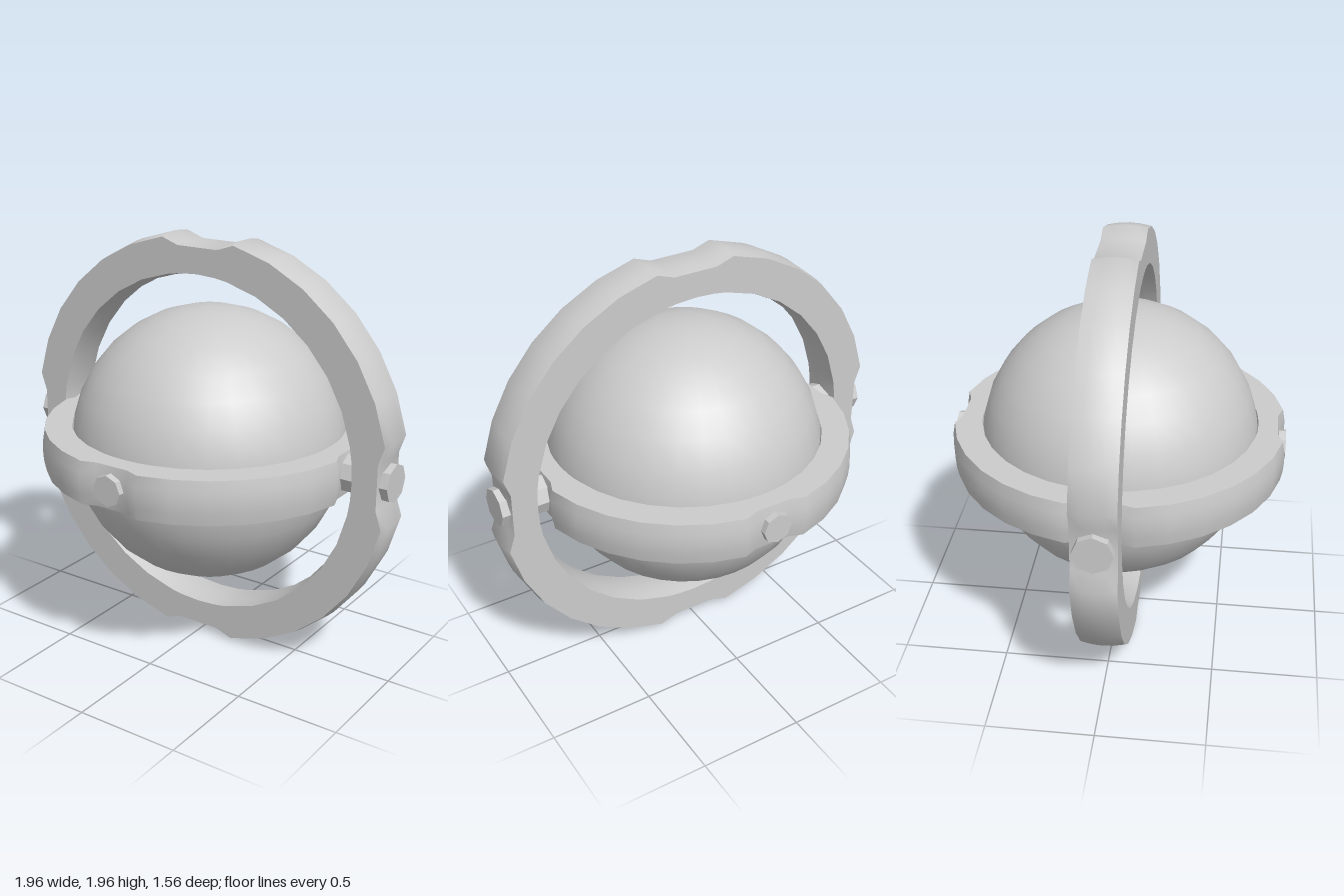
import * as THREE from 'three';
import { toCreasedNormals } from 'three/addons/utils/BufferGeometryUtils.js';

const material = new THREE.MeshStandardMaterial({ color: 0xcccccc });
const HALF_WIDTH = 0.102;

function add(parent, name, geometry) {
  const mesh = new THREE.Mesh(geometry, material);
  mesh.name = name;
  parent.add(mesh);
  return mesh;
}

// Ring about z: faceted outline with four shallow notches, slightly domed rims
function ringGeometry(scale) {
  const stations = [];
  for (let q = 0; q < 4; q++) {
    const quarter = [[-6.5, 0.977], [0, 0.971], [6.5, 0.977]];
    for (let k = 1; k <= 7; k++) quarter.push([k * 11.25, 1.02]);
    quarter.forEach(([deg, r]) => stations.push([(deg + q * 90) * Math.PI / 180, r * scale]));
  }
  const steps = [-1, -0.5, 0, 0.5, 1];
  const positions = [], indices = [];
  for (const [angle, outer] of stations) {
    const section = [
      ...steps.map(t => [outer - 0.013 * t * t, t * HALF_WIDTH]),
      ...steps.map(t => [0.82 * scale + 0.014 * t * t, -t * HALF_WIDTH]),
    ];
    for (const [r, z] of section) positions.push(r * Math.cos(angle), r * Math.sin(angle), z);
  }
  const n = stations.length, m = steps.length * 2;
  for (let i = 0; i < n; i++) {
    for (let j = 0; j < m; j++) {
      const i2 = (i + 1) % n, j2 = (j + 1) % m;
      const a = i * m + j, b = i2 * m + j, c = i2 * m + j2, d = i * m + j2;
      indices.push(a, b, c, a, c, d);
    }
  }
  const geometry = new THREE.BufferGeometry();
  geometry.setAttribute('position', new THREE.Float32BufferAttribute(positions, 3));
  geometry.setIndex(indices);
  return toCreasedNormals(geometry, Math.PI / 4.5);
}

// Octagonal pin along z with a corner pointing up
function pinGeometry(radius, inner, outer) {
  const geometry = new THREE.CylinderGeometry(radius, radius, outer - inner, 8);
  geometry.rotateX(Math.PI / 2).translate(0, 0, (inner + outer) / 2);
  return toCreasedNormals(geometry, Math.PI / 6);
}

export function createModel() {
  const model = new THREE.Group();
  model.name = 'gimbalSphere';
  const gimbal = new THREE.Group();
  gimbal.name = 'gimbal';
  gimbal.position.y = 1;
  model.add(gimbal);

  add(gimbal, 'sphere', new THREE.SphereGeometry(0.655, 32, 16));

  // Upright outer ring and level inner ring
  add(gimbal, 'outerRing', ringGeometry(0.981));
  add(gimbal, 'innerRing', ringGeometry(0.777)).rotation.x = Math.PI / 2;

  // Pivot pins: front and back hold the sphere, left and right hold the inner ring
  const small = pinGeometry(0.072, 0.6, 0.782);
  const large = pinGeometry(0.09, 0.72, 0.982);
  add(gimbal, 'frontPin', small);
  add(gimbal, 'backPin', small).rotation.y = Math.PI;
  add(gimbal, 'leftPin', large).rotation.y = Math.PI / 2;
  add(gimbal, 'rightPin', large).rotation.y = -Math.PI / 2;
  return model;
}
